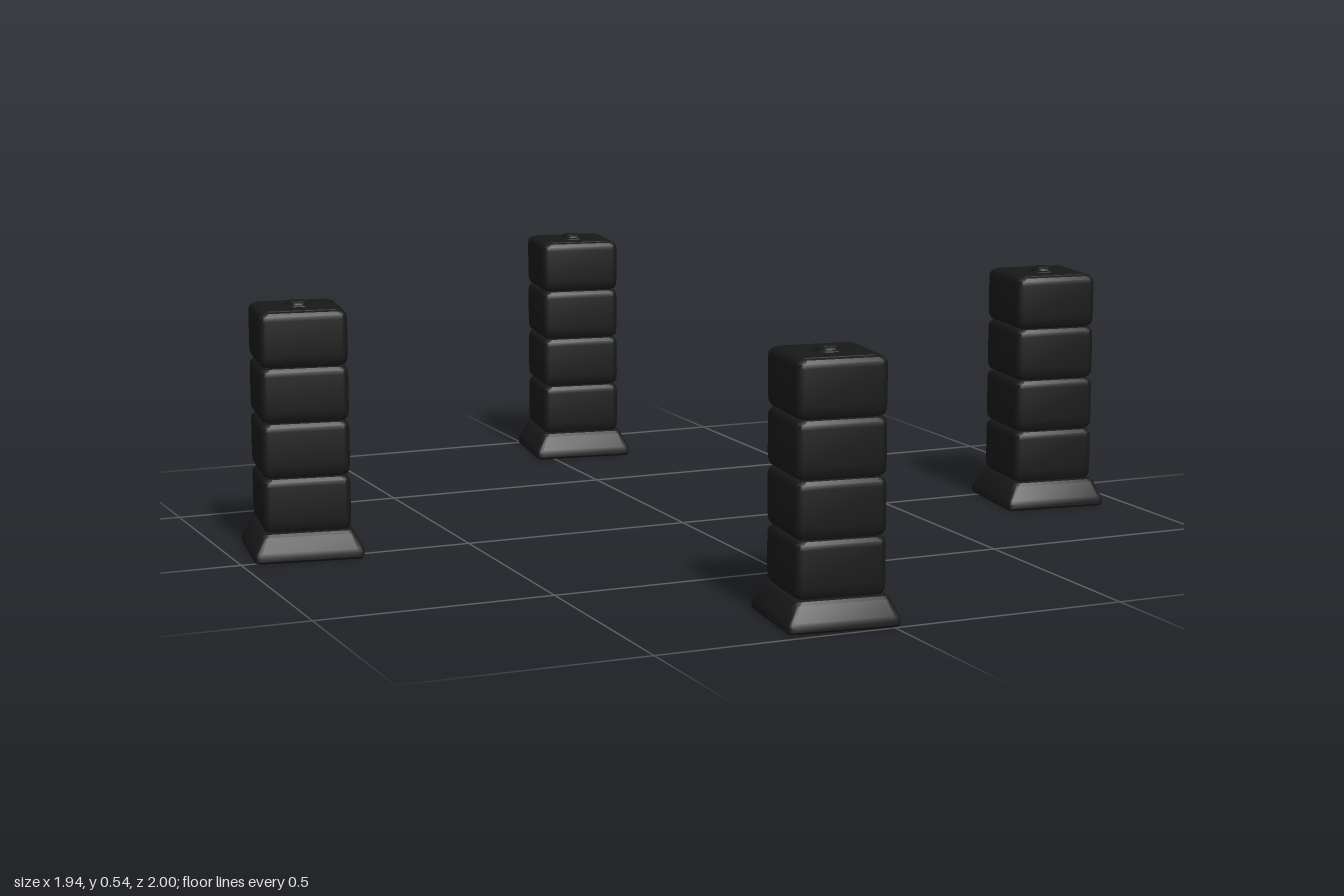
import * as THREE from 'three';
import { toCreasedNormals } from 'three/addons/utils/BufferGeometryUtils.js';

const material = new THREE.MeshStandardMaterial({ color: 0x181818 });

// Outline of a square with rounded corners, half width h and corner radius r
function outline(h, r, steps = 3) {
  const pts = [];
  for (let c = 0; c < 4; c++) {
    const mid = Math.PI / 4 + c * Math.PI / 2;
    const cx = Math.sign(Math.cos(mid)) * (h - r), cz = Math.sign(Math.sin(mid)) * (h - r);
    for (let i = 0; i <= steps; i++) {
      const a = (c + i / steps) * Math.PI / 2;
      pts.push([cx + r * Math.cos(a), cz + r * Math.sin(a)]);
    }
  }
  return pts;
}

// Closed solid through rounded squares; profile rows are [halfWidth, y], bottom to top
function squareLoft(profile, radius) {
  const pos = [], idx = [];
  let n = 0;
  for (const [h, y] of profile) {
    const ring = outline(h, Math.min(radius, h * 0.5));
    n = ring.length;
    for (const [x, z] of ring) pos.push(x, y, z);
  }
  const rows = profile.length;
  for (let r = 0; r < rows - 1; r++) {
    for (let i = 0; i < n; i++) {
      const a = r * n + i, b = r * n + (i + 1) % n;
      idx.push(a, a + n, b, b, a + n, b + n);
    }
  }
  const bottom = pos.length / 3, top = bottom + 1;
  pos.push(0, profile[0][1], 0, 0, profile[rows - 1][1], 0);
  for (let i = 0; i < n; i++) {
    const j = (i + 1) % n, last = (rows - 1) * n;
    idx.push(bottom, i, j, top, last + j, last + i);
  }
  const geo = new THREE.BufferGeometry();
  geo.setAttribute('position', new THREE.Float32BufferAttribute(pos, 3));
  geo.setIndex(idx);
  return toCreasedNormals(geo, 0.6);
}

function addPart(parent, name, geometry, y = 0) {
  const mesh = new THREE.Mesh(geometry, material);
  mesh.name = name;
  mesh.position.y = y;
  parent.add(mesh);
}

const BASE = 0.058, BLOCK = 0.116;

// Sloping foot with a short upright rim
const footGeo = squareLoft([
  [0.112, 0], [0.115, 0.004], [0.115, 0.014], [0.112, 0.022],
  [0.099, 0.052], [0.094, BASE], [0.085, BASE + 0.002],
], 0.012);

// Block with bevelled edges that leave a groove at each joint
const blockGeo = squareLoft([
  [0.08, 0], [0.087, 0.003], [0.091, 0.011], [0.092, 0.025], [0.092, BLOCK - 0.018],
  [0.091, BLOCK - 0.009], [0.086, BLOCK - 0.002], [0.08, BLOCK],
], 0.014);

// Slightly raised panel on the top block
const panelGeo = squareLoft([[0.078, 0], [0.076, 0.002], [0.074, 0.002]], 0.008);

// Round knob with a low collar
const knobGeo = toCreasedNormals(new THREE.LatheGeometry([
  [0.031, 0], [0.03, 0.003], [0.023, 0.004], [0.022, 0.008], [0.017, 0.012], [0, 0.013],
].map(([x, y]) => new THREE.Vector2(x, y)), 20), 0.6);

function createTower() {
  const tower = new THREE.Group();
  addPart(tower, 'foot', footGeo);
  for (let i = 0; i < 4; i++) addPart(tower, `block${i + 1}`, blockGeo, BASE + i * BLOCK);
  const top = BASE + 4 * BLOCK;
  addPart(tower, 'topPanel', panelGeo, top - 0.0005);
  addPart(tower, 'knob', knobGeo, top);
  return tower;
}

export function createModel() {
  const model = new THREE.Group();
  model.name = 'towers';
  // name, x, z, turn in degrees
  const places = [
    ['backTower', 0.09, -0.873, -8.5],
    ['frontTower', -0.085, 0.873, -6.5],
    ['rightTower', -0.842, -0.085, -8.5],
    ['leftTower', 0.842, 0.092, -7],
  ];
  for (const [name, x, z, turn] of places) {
    const tower = createTower();
    tower.name = name;
    tower.position.set(x, 0, z);
    tower.rotation.y = THREE.MathUtils.degToRad(turn);
    model.add(tower);
  }
  return model;
}
